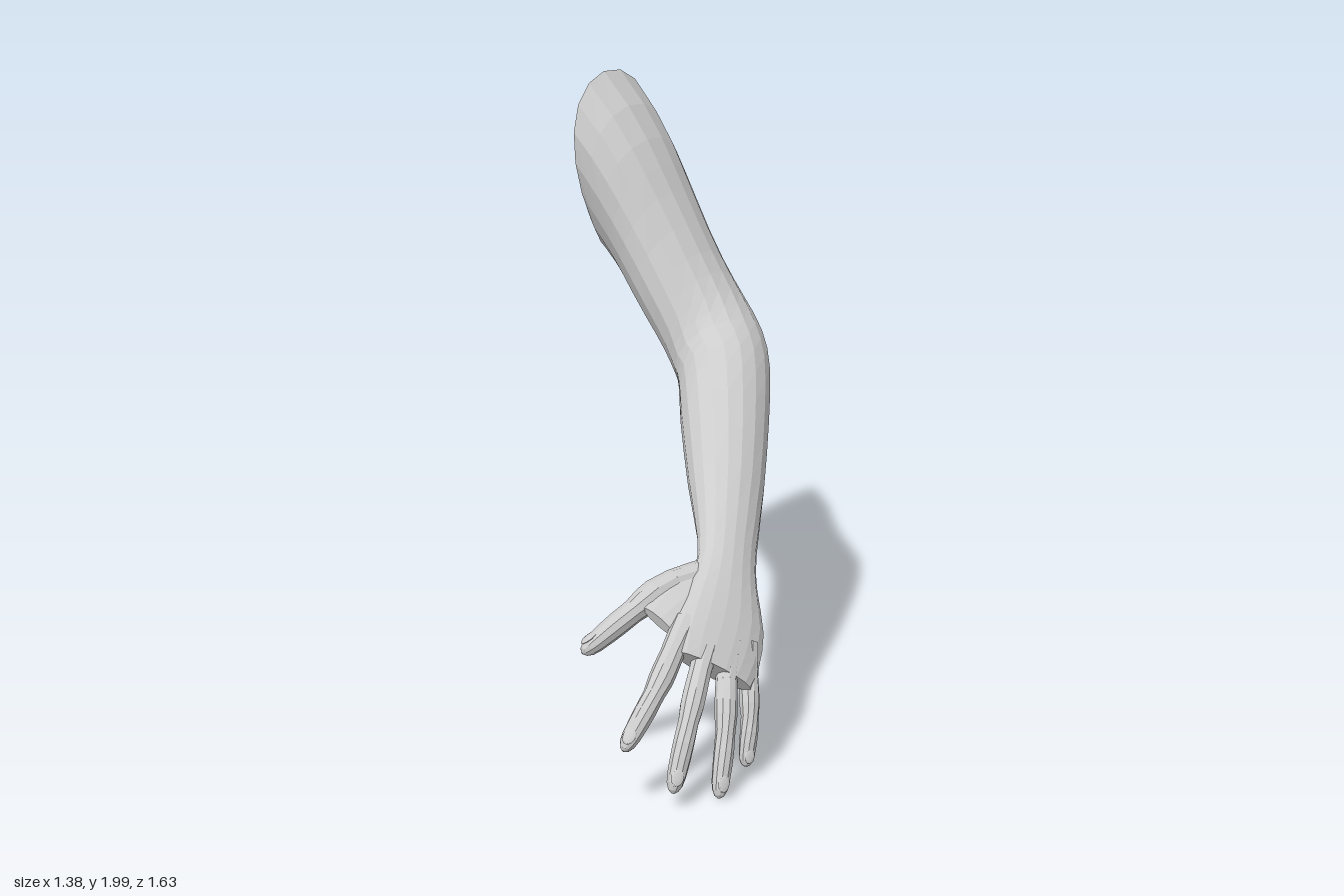
import * as THREE from 'three';

const V = (x, y, z) => new THREE.Vector3(x, y, z);
const UP = V(0, 1, 0);
const material = new THREE.MeshStandardMaterial({ color: 0xcccccc, flatShading: true });

// Section axes: u level, v upwards, both turned about the direction t by a roll in degrees
function frame(t, roll) {
  const dir = t.clone().normalize();
  const u = UP.clone().cross(dir).normalize().applyAxisAngle(dir, THREE.MathUtils.degToRad(roll));
  return { u, v: dir.clone().cross(u), dir };
}

// Closed skin over elliptical sections; egg widens the upper half of a section
function loft(name, sections, sides) {
  const pos = [], idx = [];
  for (const { c, t, ru, rv, roll, egg = 0 } of sections) {
    const { u, v } = frame(t, roll);
    for (let j = 0; j < sides; j++) {
      const a = (j / sides) * Math.PI * 2;
      const p = c.clone().addScaledVector(u, ru * Math.cos(a) * (1 + egg * Math.sin(a)));
      pos.push(...p.addScaledVector(v, rv * Math.sin(a)).toArray());
    }
  }
  const last = sections.length - 1, capA = sections.length * sides, capB = capA + 1;
  pos.push(...sections[0].c.toArray(), ...sections[last].c.toArray());
  for (let j = 0; j < sides; j++) {
    const k = (j + 1) % sides;
    for (let i = 0; i < last; i++) {
      const a = i * sides, b = a + sides;
      idx.push(a + j, a + k, b + k, a + j, b + k, b + j);
    }
    idx.push(capA, k, j, capB, last * sides + j, last * sides + k);
  }
  const geo = new THREE.BufferGeometry();
  geo.setAttribute('position', new THREE.Float32BufferAttribute(pos, 3));
  geo.setIndex(idx);
  geo.computeVertexNormals();
  const mesh = new THREE.Mesh(geo, material);
  mesh.name = name;
  return mesh;
}

// Smoothly fills in sections between rows of [centre, direction, [ru, rv, roll]]
function smoothSections(rows, steps) {
  const curves = [0, 1, 2].map(k =>
    new THREE.CatmullRomCurve3(rows.map(r => V(...r[k])), false, 'catmullrom', 0.5));
  const n = (rows.length - 1) * steps;
  return Array.from({ length: n + 1 }, (_, i) => {
    const [c, t, s] = curves.map(q => q.getPoint(i / n));
    return { c, t, ru: s.x, rv: s.y, roll: s.z };
  });
}

// Finger outline: [position along finger, width factor]
const FINGER = [[0, 1], [0.12, 1], [0.28, 0.95], [0.42, 1.04], [0.5, 1.06], [0.6, 0.94], [0.72, 1],
  [0.8, 1], [0.9, 0.95], [0.95, 0.82], [0.985, 0.52], [1, 0.15]];

function finger(name, points, r0, r1, roll) {
  const group = new THREE.Group();
  group.name = name;
  const curve = new THREE.CatmullRomCurve3(points.map(p => V(...p)));
  const sections = FINGER.map(([f, w]) => {
    const r = THREE.MathUtils.lerp(r0, r1, f) * w;
    return { c: curve.getPointAt(f), t: curve.getTangentAt(f), ru: r, rv: r * 0.95, roll };
  });
  group.add(loft(name + 'Flesh', sections, 10));

  // Nail: a flat oval set into the back of the tip
  const { u, v, dir } = frame(curve.getTangentAt(0.9), roll);
  const nail = new THREE.Mesh(new THREE.SphereGeometry(1, 10, 6), material);
  nail.name = name + 'Nail';
  nail.scale.set(r1 * 0.68, r1 * 0.2, r1);
  nail.quaternion.setFromRotationMatrix(new THREE.Matrix4().makeBasis(u, v, dir));
  nail.position.copy(curve.getPointAt(0.91)).addScaledVector(v, r1 * 0.8);
  group.add(nail);
  return group;
}

export function createModel() {
  const model = new THREE.Group();
  model.name = 'arm';

  // Upper arm from its flat cut, round the elbow, down the forearm and into the palm
  const rows = [
    [[-0.69, 1.685, -0.605], [1, 0, 0], [0.207, 0.315, 0]],
    [[-0.58, 1.555, -0.605], [0.93, -0.36, 0], [0.202, 0.23, 0]],
    [[-0.48, 1.42, -0.605], [0.89, -0.46, 0], [0.197, 0.192, 0]],
    [[-0.36, 1.25, -0.6], [0.83, -0.55, 0], [0.192, 0.168, 0]],
    [[-0.265, 1.135, -0.59], [0.81, -0.58, 0.08], [0.183, 0.162, 0]],
    [[-0.175, 1.045, -0.555], [0.75, -0.58, 0.32], [0.173, 0.165, -5]],
    [[-0.09, 0.983, -0.47], [0.6, -0.52, 0.6], [0.162, 0.158, -25]],
    [[0.045, 0.88, -0.288], [0.53, -0.46, 0.71], [0.152, 0.142, -35]],
    [[0.197, 0.725, -0.088], [0.53, -0.48, 0.7], [0.13, 0.113, -36]],
    [[0.338, 0.593, 0.1], [0.48, -0.5, 0.72], [0.104, 0.069, -37]],
    [[0.4, 0.525, 0.19], [0.42, -0.54, 0.73], [0.112, 0.06, -38]],
    [[0.46, 0.44, 0.285], [0.39, -0.55, 0.73], [0.146, 0.056, -38]],
    [[0.508, 0.375, 0.385], [0.39, -0.55, 0.73], [0.153, 0.048, -38]],
    [[0.54, 0.335, 0.45], [0.39, -0.55, 0.73], [0.138, 0.033, -38]],
  ];
  const arm = smoothSections(rows, 2);
  arm.forEach((s, i) => { s.egg = Math.max(0, 0.3 - 0.06 * i); });
  model.add(loft('armAndPalm', arm, 18));

  // Fingers: path from inside the palm to the tip, base and tip radius, roll
  const fingers = [
    ['thumb', [[0.355, 0.54, 0.21], [0.3, 0.53, 0.37], [0.272, 0.48, 0.49], [0.207, 0.378, 0.66]], 0.056, 0.032, 10],
    ['indexFinger', [[0.42, 0.455, 0.42], [0.452, 0.4, 0.53], [0.485, 0.315, 0.665], [0.485, 0.185, 0.81]], 0.042, 0.029, -25],
    ['middleFinger', [[0.48, 0.42, 0.38], [0.525, 0.35, 0.49], [0.578, 0.225, 0.625], [0.6, 0.055, 0.725]], 0.04, 0.029, -35],
    ['ringFinger', [[0.52, 0.39, 0.33], [0.567, 0.31, 0.415], [0.632, 0.175, 0.51], [0.668, 0.01, 0.59]], 0.038, 0.028, -40],
    ['littleFinger', [[0.54, 0.37, 0.27], [0.58, 0.285, 0.32], [0.625, 0.17, 0.375], [0.643, 0.045, 0.42]], 0.036, 0.025, -45],
  ];
  for (const f of fingers) model.add(finger(...f));

  // Ball of the thumb and the web of flesh reaching across to the index finger
  const dir = [-0.05, -0.25, 0.95];
  const web = [
    [[0.385, 0.535, 0.19], dir, [0.07, 0.045, -32]],
    [[0.372, 0.497, 0.33], dir, [0.1, 0.045, -32]],
    [[0.366, 0.475, 0.42], dir, [0.093, 0.037, -32]],
    [[0.364, 0.462, 0.485], dir, [0.065, 0.018, -32]],
  ];
  model.add(loft('thumbWeb', smoothSections(web, 2), 12));
  return model;
}
